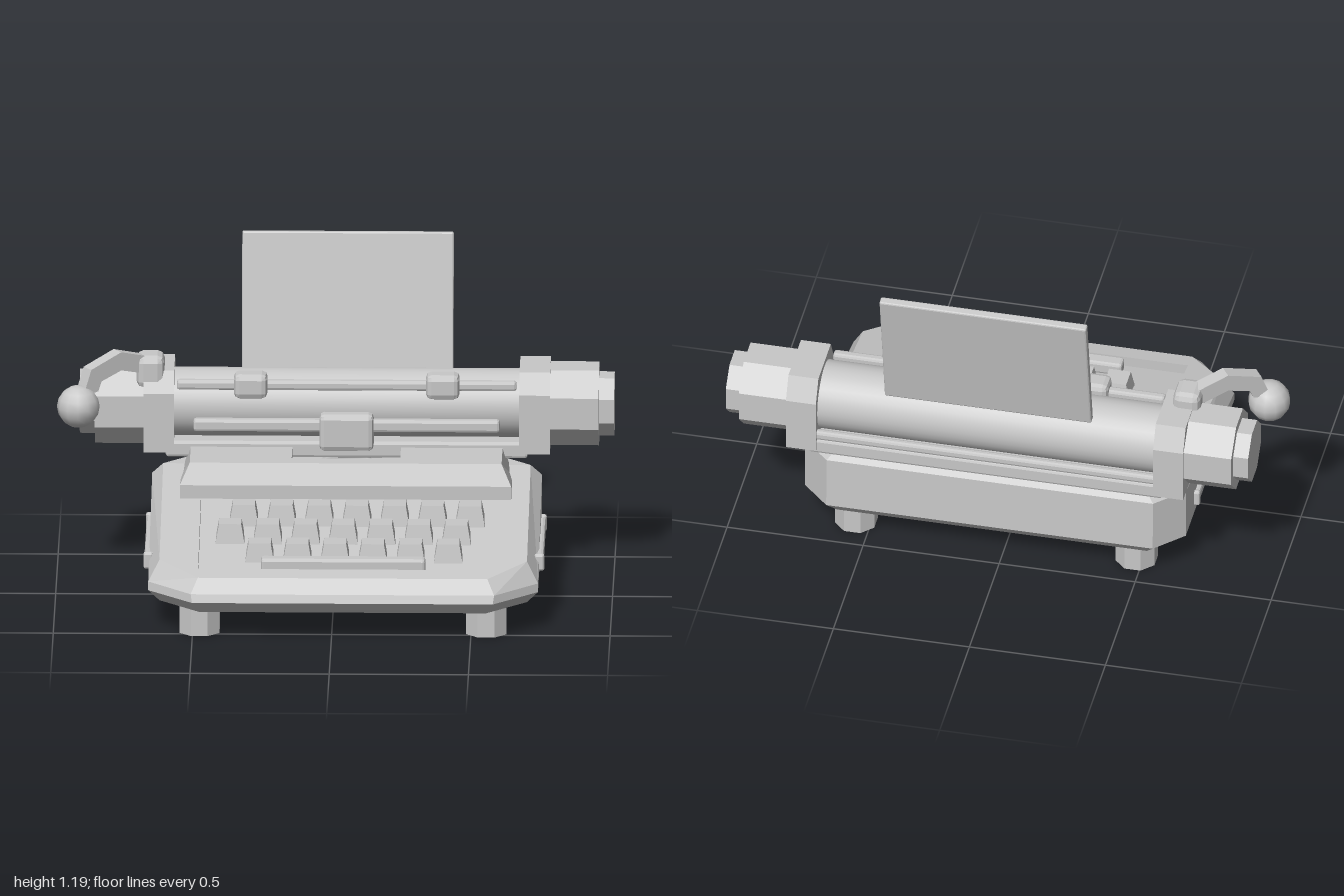
import * as THREE from 'three';
import { RoundedBoxGeometry } from 'three/addons/geometries/RoundedBoxGeometry.js';

export function createModel() {
  const model = new THREE.Group();
  model.name = 'typewriter';
  const body = new THREE.Group();
  body.name = 'machine';
  body.position.x = 0.04;
  model.add(body);

  const grey = new THREE.MeshStandardMaterial({ color: 0xc8c8c8 });
  grey.name = 'plain grey';

  function add(name, geo, x = 0, y = 0, z = 0) {
    const m = new THREE.Mesh(geo, grey);
    m.name = name;
    m.position.set(x, y, z);
    body.add(m);
    return m;
  }
  const flat = (g) => {
    const f = g.index ? g.toNonIndexed() : g;
    f.computeVertexNormals();
    return f;
  };
  const bevelBox = (w, h, d, r = 0.01) => flat(new RoundedBoxGeometry(w, h, d, 1, r));

  // Octagonal bar with flats facing front and top, lying along y
  function octagon(apothem, length) {
    const g = new THREE.CylinderGeometry(1, 1, length, 8);
    g.rotateY(Math.PI / 8);
    const r = apothem / Math.cos(Math.PI / 8);
    return flat(g.scale(r, 1, r));
  }

  // Box whose top is narrower than its bottom
  function taperBox(w, h, d, inset) {
    const g = new THREE.BoxGeometry(w, h, d);
    const p = g.attributes.position;
    for (let i = 0; i < p.count; i++) {
      if (p.getY(i) > 0) {
        p.setX(i, p.getX(i) - Math.sign(p.getX(i)) * inset);
        p.setZ(i, p.getZ(i) - Math.sign(p.getZ(i)) * inset);
      }
    }
    return flat(g);
  }

  // Side profile of [z, y] points extruded along x
  function sideProfile(points, x0, x1) {
    const shape = new THREE.Shape(points.map(([z, y]) => new THREE.Vector2(-z, y)));
    const g = new THREE.ExtrudeGeometry(shape, { depth: x1 - x0, bevelEnabled: false });
    return g.rotateY(Math.PI / 2).translate(x0, 0, 0);
  }

  // Rectangular outline with cut corners, its height set by a rule of z
  function outline(hw, zf, zb, cf, cb, height) {
    const half = [[hw - cf, zf], [hw, zf - cf], [hw, zb + cb], [hw - cb, zb]];
    const left = half.map(([x, z]) => [-x, z]).reverse();
    return [...half, ...left].map(([x, z]) => [x, height(z), z]);
  }

  // Skin over matching outlines, closed at both ends
  function loft(rings) {
    const out = [];
    const n = rings[0].length;
    for (let r = 0; r < rings.length - 1; r++) {
      for (let i = 0; i < n; i++) {
        const j = (i + 1) % n;
        const [a, b, c, d] = [rings[r][i], rings[r][j], rings[r + 1][j], rings[r + 1][i]];
        out.push(...a, ...b, ...c, ...a, ...c, ...d);
      }
    }
    const last = rings[rings.length - 1];
    for (let i = 1; i < n - 1; i++) {
      out.push(...rings[0][0], ...rings[0][i + 1], ...rings[0][i]);
      out.push(...last[0], ...last[i], ...last[i + 1]);
    }
    const g = new THREE.BufferGeometry();
    g.setAttribute('position', new THREE.Float32BufferAttribute(out, 3));
    g.computeVertexNormals();
    return g;
  }

  // Casing with sloping deck and sunken key well
  const clamp = THREE.MathUtils.clamp;
  const deckY = (z) => 0.225 + 0.165 * clamp((0.55 - z) / 0.89, 0, 1);
  const rimY = (z) => 0.175 + 0.17 * clamp((0.44 - z) / 0.82, 0, 1);
  const wellY = (z) => deckY(z) - 0.04;
  add('casing', loft([
    outline(0.66, 0.56, -0.44, 0.145, 0.09, () => 0.10),
    outline(0.70, 0.60, -0.48, 0.16, 0.10, () => 0.145),
    outline(0.70, 0.59, -0.475, 0.155, 0.10, rimY),
    outline(0.66, 0.55, -0.44, 0.14, 0.10, deckY),
    outline(0.52, 0.48, -0.34, 0.002, 0.002, deckY),
    outline(0.52, 0.48, -0.34, 0.002, 0.002, wellY),
  ]));

  // Feet and side trim
  for (const s of [-1, 1]) {
    for (const z of [0.457, -0.36]) add('foot', octagon(0.072, 0.11), s * 0.515, 0.055, z);
    add('sideTrim', bevelBox(0.03, 0.044, 0.50), s * 0.702, 0.207, 0.018);
    for (const z of [0.27, -0.23]) add('trimEnd', bevelBox(0.036, 0.062, 0.022, 0.008), s * 0.702, 0.207, z);
  }

  // Keys: count, row centre x, z and top height
  const rows = [[7, 0.043, -0.012, 0.35], [7, -0.004, 0.152, 0.32], [6, 0.037, 0.295, 0.29]];
  rows[0][2] = 0.012;
  for (const [count, cx, z, top] of rows) {
    for (let i = 0; i < count; i++) {
      add('key', taperBox(0.106, 0.075, 0.106, 0.013), cx + (i - (count - 1) / 2) * 0.1355, top - 0.0375, z);
    }
  }
  add('spaceBar', bevelBox(0.59, 0.05, 0.055), 0, 0.24, 0.42);

  // Hood, notched in the middle, with ends leaning in
  const front = [[-0.045, 0.345], [-0.045, 0.395], [-0.078, 0.47]];
  const full = [...front, [-0.355, 0.47], [-0.355, 0.345]];
  const lip = [...front, [-0.14, 0.47], [-0.14, 0.345]];
  for (const s of [-1, 1]) {
    const g = sideProfile(full, s < 0 ? -0.595 : 0.195, s < 0 ? -0.195 : 0.595);
    const p = g.attributes.position;
    for (let i = 0; i < p.count; i++) {
      if (p.getY(i) > 0.46 && Math.abs(p.getX(i)) > 0.5) p.setX(i, s * 0.56);
    }
    add('hoodSide', flat(g));
  }
  add('hoodFront', sideProfile(lip, -0.195, 0.195));
  add('basketFloor', new THREE.BoxGeometry(0.39, 0.03, 0.22), 0, 0.385, -0.25);
  const ring = new THREE.TorusGeometry(0.092, 0.014, 6, 20).rotateX(Math.PI / 2);
  add('typeRing', ring, 0, 0.412, -0.26);

  // Carriage: roller, tray, end plates and knobs
  const cy = 0.60, cz = -0.415;
  add('roller', new THREE.CylinderGeometry(0.125, 0.125, 1.3, 32).rotateZ(Math.PI / 2), 0, cy, cz);
  add('carriageTray', bevelBox(1.30, 0.06, 0.27), 0, 0.46, cz);
  add('rearBar', bevelBox(1.26, 0.035, 0.03), 0, 0.51, -0.54);
  const plate = [[-0.27, 0.45], [-0.27, 0.67], [-0.31, 0.745], [-0.52, 0.745], [-0.563, 0.66], [-0.563, 0.45]];
  for (const s of [-1, 1]) {
    add('endPlate', sideProfile(plate, s * 0.675 - 0.055, s * 0.675 + 0.055));
    add('knob', octagon(0.14, 0.18).rotateZ(Math.PI / 2), s * 0.815, cy, cz);
    add('knobCap', octagon(0.107, 0.07).rotateZ(Math.PI / 2), s * 0.925, cy, cz);
  }

  // Paper bar with clips, front rail and type guide
  add('paperBar', bevelBox(1.22, 0.036, 0.036), 0, 0.695, -0.31);
  for (const s of [-1, 1]) add('paperClip', bevelBox(0.12, 0.09, 0.09, 0.02), s * 0.345, 0.697, -0.305);
  add('frontRail', bevelBox(1.10, 0.045, 0.04), 0, 0.557, -0.268);
  add('typeGuide', bevelBox(0.195, 0.135, 0.07, 0.018), 0, 0.538, -0.255);

  // Sheet of paper leaning back
  add('paper', bevelBox(0.76, 0.50, 0.032, 0.006), 0, 0.945, -0.535).rotation.x = -0.185;

  // Return lever with ball grip
  add('leverBlock', bevelBox(0.10, 0.12, 0.12, 0.025), -0.705, 0.74, -0.35);
  const arm = new THREE.Shape([[0, 0.785], [0.15, 0.83], [0.28, 0.785], [0.315, 0.69],
    [0.25, 0.70], [0.235, 0.735], [0.15, 0.762], [0, 0.72]].map(([x, y]) => new THREE.Vector2(x, y)));
  const armGeo = new THREE.ExtrudeGeometry(arm, { depth: 0.05, bevelEnabled: false });
  armGeo.translate(0, 0, -0.025).rotateY(Math.atan2(-0.573, -0.82));
  add('leverArm', armGeo, -0.70, 0, -0.36);
  add('leverBall', new THREE.SphereGeometry(0.077, 12, 8), -0.962, 0.65, -0.175);

  return model;
}
